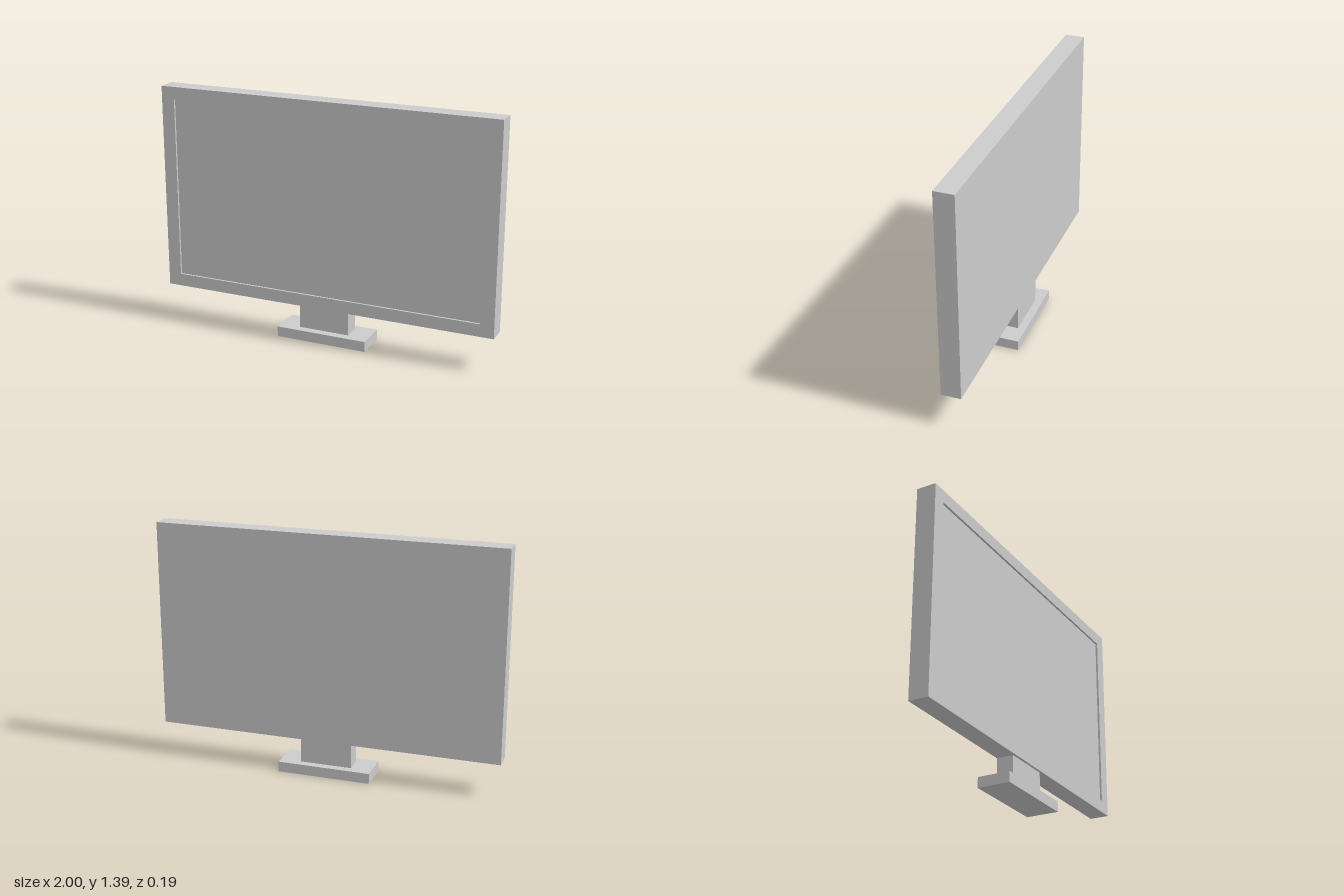
import * as THREE from 'three';

const material = new THREE.MeshStandardMaterial({ color: 0xcccccc });

// Box given by its minimum and maximum corners
function box(name, [x0, y0, z0], [x1, y1, z1]) {
  const mesh = new THREE.Mesh(new THREE.BoxGeometry(x1 - x0, y1 - y0, z1 - z0), material);
  mesh.position.set((x0 + x1) / 2, (y0 + y1) / 2, (z0 + z1) / 2);
  mesh.name = name;
  return mesh;
}

// Adds a closed rectangle to a shape or hole path
function rect(path, x, y0, y1) {
  path.moveTo(-x, y0).lineTo(x, y0).lineTo(x, y1).lineTo(-x, y1).closePath();
  return path;
}

export function createModel() {
  const group = new THREE.Group();
  group.name = 'monitor';

  const back = -0.05, front = 0.063, screenZ = 0.051;
  const bottom = 0.197, top = 1.395;

  // Bezel: raised frame around the recessed screen
  const frame = rect(new THREE.Shape(), 1, bottom, top);
  frame.holes.push(rect(new THREE.Path(), 0.922, 0.27, 1.323));
  const bezel = new THREE.Mesh(
    new THREE.ExtrudeGeometry(frame, { depth: front - back, bevelEnabled: false }),
    material
  );
  bezel.position.z = back;
  bezel.name = 'bezel';
  group.add(bezel);

  // Screen and back cover fill the frame opening
  group.add(box('screen', [-0.922, 0.27, back], [0.922, 1.323, screenZ]));

  // Stand: neck flush with the back, and a flat foot
  group.add(box('neck', [-0.15, 0.06, back], [0.15, bottom, 0.048]));
  group.add(box('base', [-0.27, 0, -0.095], [0.27, 0.06, 0.095]));

  return group;
}
